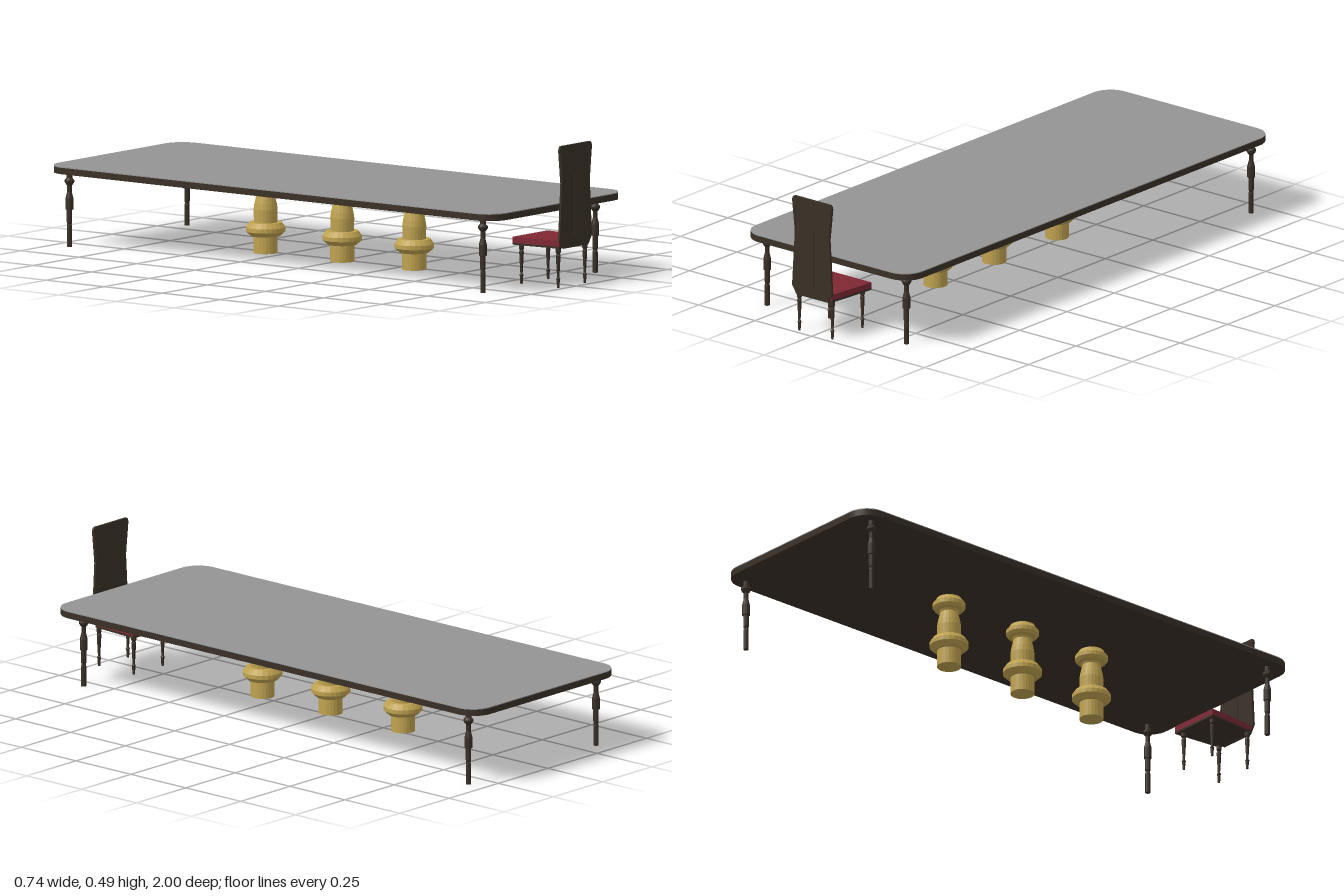
import * as THREE from 'three';

const mat = (name, color) => Object.assign(new THREE.MeshStandardMaterial({ color, flatShading: true }), { name });

export function createModel() {
  const wood = mat('darkWood', 0x3a3026);
  const glass = mat('greyTop', 0x949494);
  const gold = mat('gold', 0xc0a350);
  const red = mat('redCushion', 0x7e2833);
  const model = new THREE.Group();
  model.name = 'diningTable';

  const add = (parent, name, geo, material, x = 0, y = 0, z = 0) => {
    const m = new THREE.Mesh(geo, material);
    m.name = name;
    m.position.set(x, y, z);
    parent.add(m);
    return m;
  };
  const lathe = (pts, sides) => new THREE.LatheGeometry(pts.map(([r, y]) => new THREE.Vector2(r, y)), sides);
  const polygon = pts => new THREE.Shape(pts.map(([x, y]) => new THREE.Vector2(x, y)));
  const extrude = (shape, depth) => new THREE.ExtrudeGeometry(shape, { depth, bevelEnabled: false, curveSegments: 8 });
  // Horizontal slab: shape drawn in x and -z, thickness upwards
  const slab = (shape, height) => extrude(shape, height).rotateX(-Math.PI / 2);

  // Rounded table top with a thin grey surface
  const hx = 0.368, z0 = -0.93, z1 = 1, r = 0.075;
  const top = new THREE.Shape();
  top.moveTo(-hx + r, z0);
  top.lineTo(hx - r, z0);
  top.absarc(hx - r, z0 + r, r, -Math.PI / 2, 0);
  top.absarc(hx - r, z1 - r, r, 0, Math.PI / 2);
  top.absarc(-hx + r, z1 - r, r, Math.PI / 2, Math.PI);
  top.absarc(-hx + r, z0 + r, r, Math.PI, Math.PI * 1.5);
  add(model, 'tableTop', slab(top, 0.022), wood, 0, 0.253, 0);
  add(model, 'tableSurface', slab(top, 0.003), glass, 0, 0.275, 0);

  // Turned corner legs
  const legGeo = lathe([
    [0, 0], [0.009, 0], [0.009, 0.07], [0.0075, 0.077], [0.0095, 0.085], [0.0095, 0.126], [0.0135, 0.128],
    [0.0135, 0.166], [0.008, 0.188], [0.008, 0.21], [0.012, 0.214], [0.017, 0.222], [0.017, 0.228],
    [0.01, 0.236], [0.01, 0.254]], 12);
  for (const [x, z] of [[-0.322, 0.85], [0.294, 0.85], [-0.322, -0.93], [0.324, -0.93]])
    add(model, 'tableLeg', legGeo, wood, x, 0, z);

  // Gold pedestals
  const pedestalGeo = lathe([
    [0, 0], [0.041, 0], [0.041, 0.058], [0.05, 0.058], [0.067, 0.074], [0.067, 0.088], [0.055, 0.105],
    [0.04, 0.105], [0.041, 0.15], [0.038, 0.17], [0.031, 0.2], [0.035, 0.207], [0.048, 0.21], [0.056, 0.22],
    [0.056, 0.234], [0.046, 0.245], [0.042, 0.254]], 22);
  for (const z of [0.32, 0.01, -0.32]) add(model, 'pedestal', pedestalGeo, gold, -0.023, 0, z);

  // Chair at the front end, facing the table
  const chair = new THREE.Group();
  chair.name = 'chair';
  model.add(chair);

  // Seat: wider at the table side
  const seat = polygon([[-0.08, -0.988], [0.08, -0.988], [0.097, -0.8], [-0.097, -0.8]]);
  add(chair, 'seatFrame', slab(seat, 0.007), wood, 0, 0.135, 0);
  add(chair, 'seatCushion', slab(seat, 0.02), red, 0, 0.142, 0);

  // Waisted back panel
  const half = [[0.068, 0.135], [0.088, 0.166], [0.076, 0.36], [0.088, 0.472], [0.086, 0.482], [0.08, 0.487]];
  const mirrored = half.map(([x, y]) => [-x, y]).reverse();
  add(chair, 'chairBack', extrude(polygon([...half, ...mirrored]), 0.008), wood, 0, 0, 0.99);

  // Slim trim on both faces of the back
  for (const z of [0.988, 0.998]) {
    add(chair, 'backSpine', new THREE.BoxGeometry(0.015, 0.215, 0.002), wood, -0.001, 0.278, z + 0.001);
    for (const s of [-1, 1]) {
      const pts = [[0.074 * s, 0.36], [0.085 * s, 0.472], [0.069 * s, 0.472]];
      add(chair, 'backTrim', extrude(polygon(s > 0 ? pts : pts.reverse()), 0.002), wood, 0, 0, z);
    }
  }

  // Slender turned chair legs
  const chairLegGeo = lathe([
    [0, 0], [0.004, 0], [0.006, 0.028], [0.0075, 0.031], [0.004, 0.036], [0.0065, 0.08], [0.008, 0.11],
    [0.006, 0.116], [0.009, 0.122], [0.009, 0.136]], 10);
  for (const x of [-0.072, 0.074]) for (const z of [0.82, 0.978]) add(chair, 'chairLeg', chairLegGeo, wood, x, 0, z);

  return model;
}
